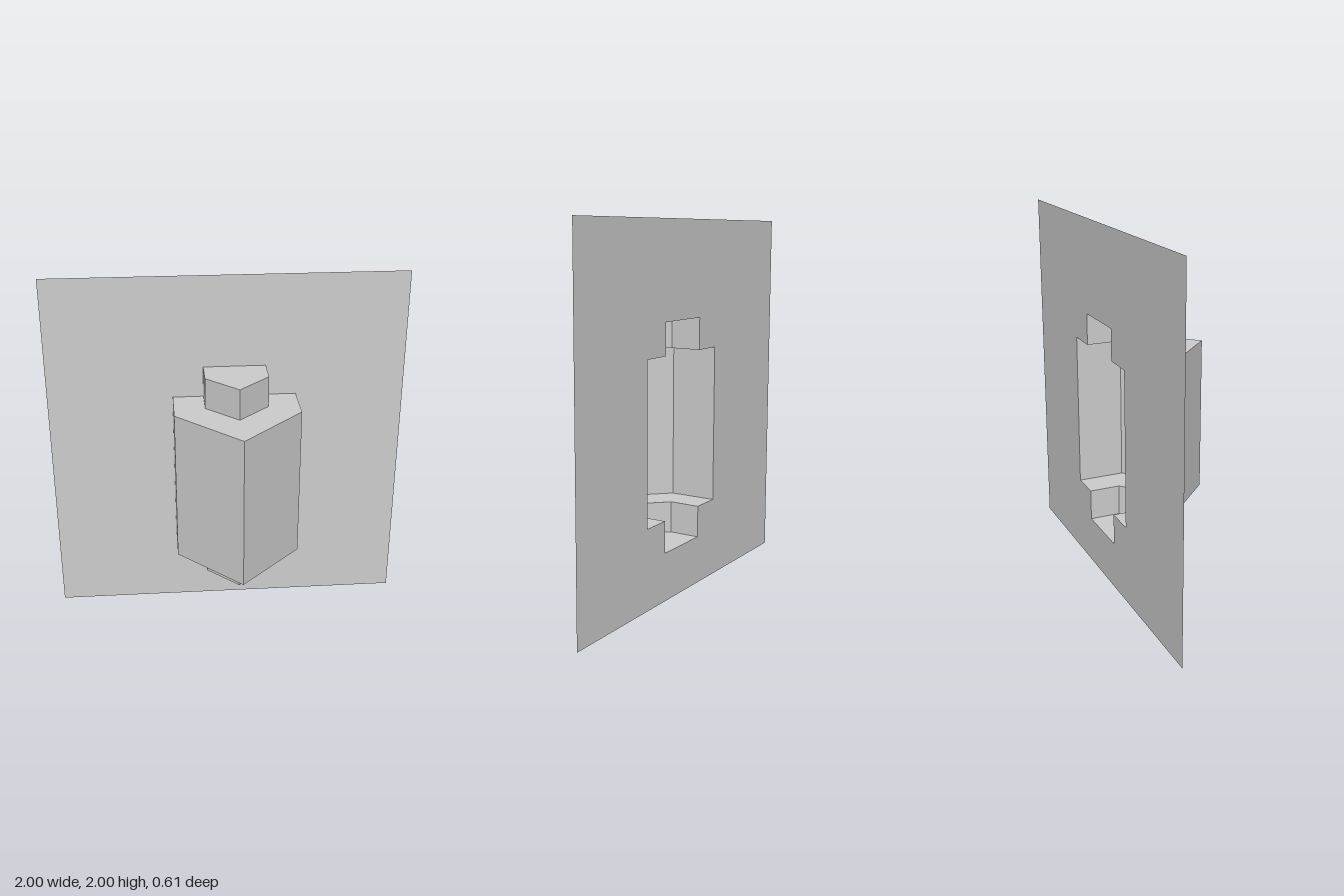
import * as THREE from 'three';

const BACK = -0.305;
const CX = 0.042;
// heights: lower neck bottom, body bottom, body top, upper neck top
const [Y0, Y1, Y2, Y3] = [0.265, 0.44, 1.308, 1.482];

// Open plan outline (x, z) running left-back, round the pointed front, to right-back
const outline = (half, side, tip) => [
  [CX - half, BACK], [CX - half, side], [CX, tip], [CX + half, side], [CX + half, BACK],
];
const bodyPlan = outline(0.346, -0.042, 0.305);
const neckPlan = outline(0.174, -0.132, 0.041);

const toShape = (pts) => new THREE.Shape(pts.map(([x, y]) => new THREE.Vector2(x, y)));

// Upright walls along a plan outline, open at the back
function wallGeometry(plan, y0, y1) {
  const pos = [];
  for (let i = 0; i < plan.length - 1; i++) {
    const [ax, az] = plan[i];
    const [bx, bz] = plan[i + 1];
    pos.push(ax, y0, az, bx, y0, bz, bx, y1, bz, ax, y0, az, bx, y1, bz, ax, y1, az);
  }
  const g = new THREE.BufferGeometry();
  g.setAttribute('position', new THREE.Float32BufferAttribute(pos, 3));
  g.computeVertexNormals();
  return g;
}

// Flat horizontal face filling a plan outline
function levelGeometry(plan, y) {
  return new THREE.ShapeGeometry(toShape(plan.map(([x, z]) => [x, -z])))
    .rotateX(-Math.PI / 2).translate(0, y, 0);
}

export function createModel() {
  const model = new THREE.Group();
  model.name = 'wallPanelWithNiche';
  const grey = new THREE.MeshStandardMaterial({ color: 0xcccccc, side: THREE.DoubleSide });
  grey.name = 'plain grey';

  const add = (name, geometry) => {
    const mesh = new THREE.Mesh(geometry, grey);
    mesh.name = name;
    model.add(mesh);
  };

  // Square back panel, cut out where the hollow shell meets it
  const panel = toShape([[-1, 0], [1, 0], [1, 2], [-1, 2]]);
  const [bl, br, nl, nr] = [CX - 0.346, CX + 0.346, CX - 0.174, CX + 0.174];
  panel.holes.push(toShape([
    [nl, Y0], [nl, Y1], [bl, Y1], [bl, Y2], [nl, Y2], [nl, Y3],
    [nr, Y3], [nr, Y2], [br, Y2], [br, Y1], [nr, Y1], [nr, Y0],
  ]));
  add('backPanel', new THREE.ShapeGeometry(panel).translate(0, 0, BACK));

  // Hollow pointed body with a narrower neck above and below
  add('bodyWalls', wallGeometry(bodyPlan, Y1, Y2));
  add('lowerNeckWalls', wallGeometry(neckPlan, Y0, Y1));
  add('upperNeckWalls', wallGeometry(neckPlan, Y2, Y3));

  // Ledges between body and necks, left open into the necks
  const ledge = [...bodyPlan, ...[...neckPlan].reverse()];
  add('lowerLedge', levelGeometry(ledge, Y1));
  add('upperLedge', levelGeometry(ledge, Y2));

  // End caps
  add('lowerCap', levelGeometry(neckPlan, Y0));
  add('upperCap', levelGeometry(neckPlan, Y3));

  return model;
}
